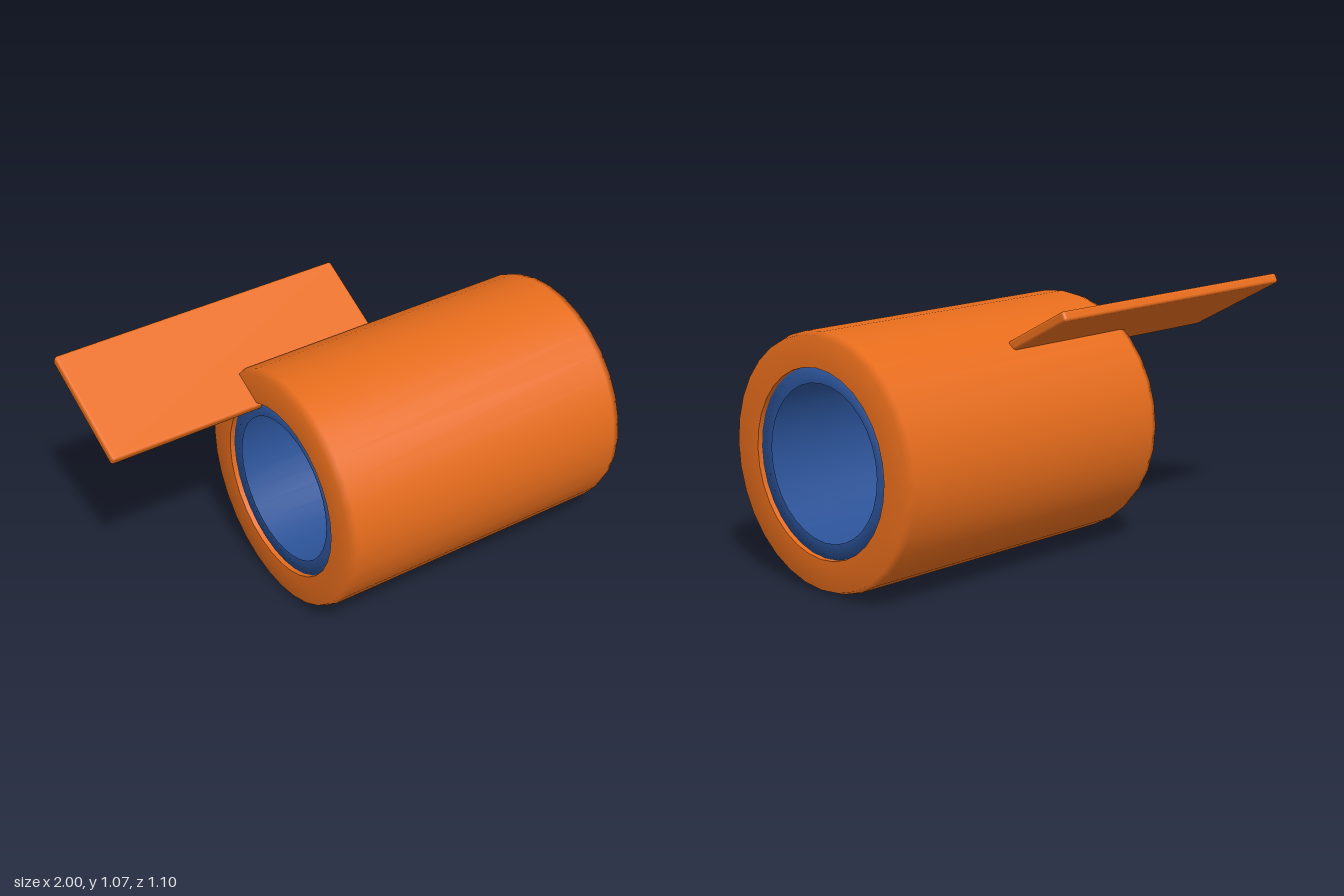
import * as THREE from 'three';
import { RoundedBoxGeometry } from 'three/addons/geometries/RoundedBoxGeometry.js';

const SIDES = 32;
const START = -0.35, END = 1.0;      // barrel ends along x
const OUTER = 0.504, RIM = 0.37, BORE = 0.308;
const RECESS = 0.02;                 // liner sits back from both ends

export function createModel() {
  const orange = new THREE.MeshStandardMaterial({ color: 0xe66c1c });
  orange.name = 'orange';
  const blue = new THREE.MeshStandardMaterial({ color: 0x2b5297, side: THREE.DoubleSide });
  blue.name = 'blue';
  const model = new THREE.Group();

  // Revolved surface around the x axis from [x, radius] pairs
  const barrel = new THREE.Group();
  barrel.name = 'barrel';
  barrel.position.set(0, OUTER, 0.044);
  model.add(barrel);
  function revolve(name, material, profile) {
    const points = profile.map(([x, r]) => new THREE.Vector2(r, x));
    const geometry = new THREE.LatheGeometry(points, SIDES).rotateZ(-Math.PI / 2);
    const mesh = new THREE.Mesh(geometry, material);
    mesh.name = name;
    barrel.add(mesh);
  }

  // Outer sleeve with softened ends
  revolve('sleeve', orange, [
    [START, RIM], [START, OUTER - 0.012], [START + 0.035, OUTER],
    [END - 0.035, OUTER], [END, OUTER - 0.012], [END, RIM],
  ]);

  // Short lips from the sleeve ends down to the liner
  const a = START + RECESS, b = END - RECESS;
  revolve('leftLip', orange, [[END, RIM], [b, RIM]]);
  revolve('rightLip', orange, [[a, RIM], [START, RIM]]);

  // Recessed thin-walled liner: wide tube with a narrower ring at each end
  revolve('liner', blue, [[a, BORE], [a, RIM], [b, RIM], [b, BORE]]);

  // Slanted flat tab, set into the sleeve
  const tab = new THREE.Mesh(new RoundedBoxGeometry(1.289, 0.042, 0.496, 2, 0.012), orange);
  tab.name = 'tab';
  tab.position.set(-0.3555, 0.935, -0.325);
  tab.rotation.x = THREE.MathUtils.degToRad(28.5);
  model.add(tab);

  return model;
}
